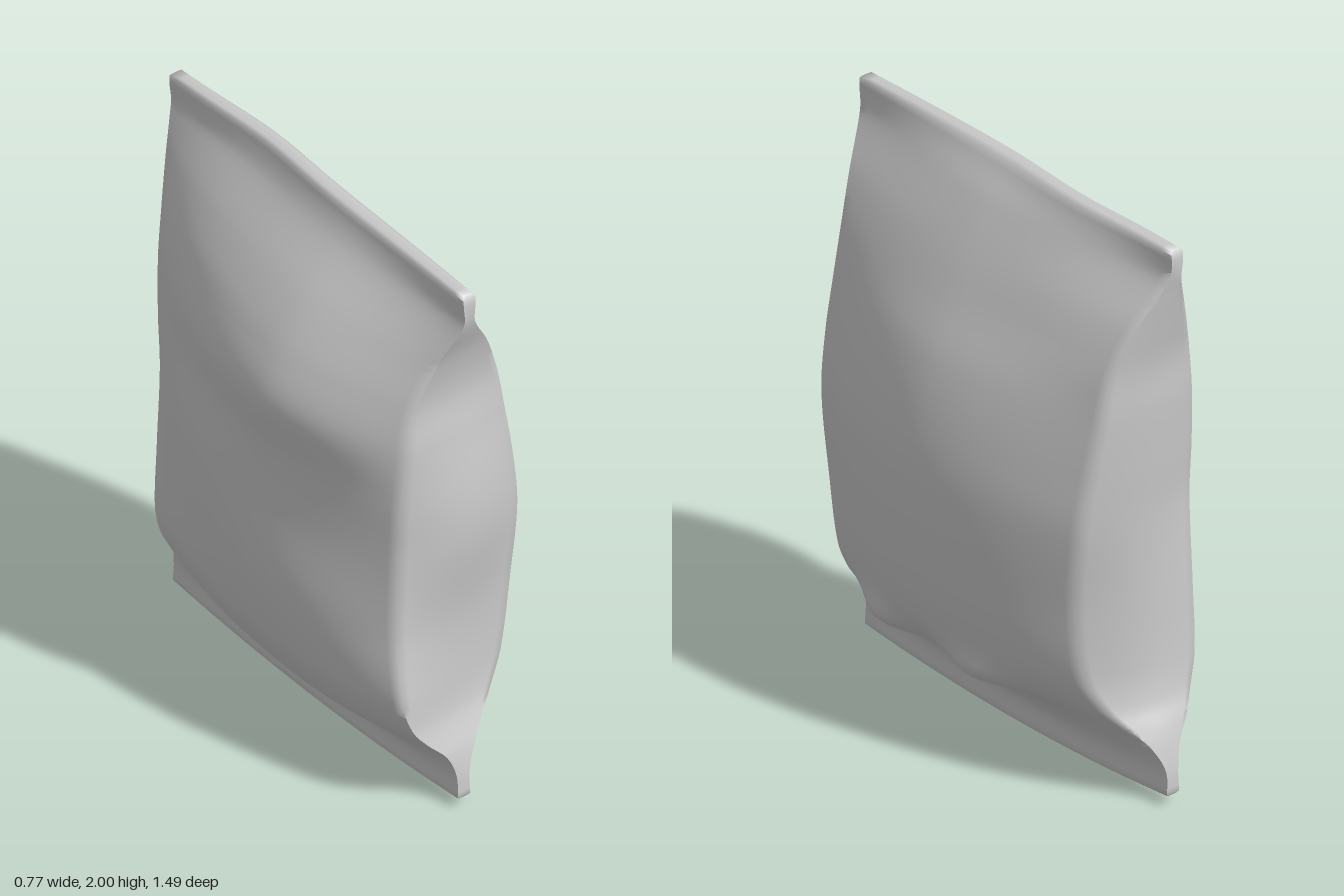
import * as THREE from 'three';
import { toCreasedNormals } from 'three/addons/utils/BufferGeometryUtils.js';

// Cross-section controls by height:
// y, left bulge x, right bulge x, left crease x, right crease x,
// front z (left crease), back z (left crease), front z (right crease), back z (right crease)
const rows = [
  [0.00, -0.06, -0.01, -0.06, -0.01, 0.725, -0.720, 0.725, -0.720],
  [0.10, -0.07, 0.000, -0.06, -0.01, 0.720, -0.715, 0.720, -0.715],
  [0.19, -0.16, 0.075, -0.09, 0.025, 0.710, -0.695, 0.700, -0.690],
  [0.26, -0.24, 0.150, -0.15, 0.075, 0.695, -0.670, 0.670, -0.650],
  [0.33, -0.285, 0.235, -0.20, 0.130, 0.685, -0.640, 0.640, -0.600],
  [0.45, -0.335, 0.320, -0.24, 0.190, 0.680, -0.625, 0.620, -0.555],
  [0.70, -0.37, 0.365, -0.24, 0.225, 0.650, -0.615, 0.620, -0.555],
  [1.00, -0.365, 0.380, -0.235, 0.240, 0.645, -0.605, 0.640, -0.595],
  [1.20, -0.36, 0.360, -0.23, 0.220, 0.655, -0.620, 0.645, -0.620],
  [1.40, -0.385, 0.310, -0.21, 0.190, 0.665, -0.640, 0.640, -0.640],
  [1.56, -0.33, 0.240, -0.18, 0.160, 0.660, -0.655, 0.640, -0.650],
  [1.72, -0.23, 0.165, -0.115, 0.095, 0.688, -0.700, 0.675, -0.685],
  [1.88, -0.10, 0.075, -0.05, 0.000, 0.742, -0.742, 0.735, -0.735],
  [1.95, -0.065, 0.025, -0.052, -0.008, 0.747, -0.747, 0.747, -0.747],
  [2.00, -0.055, -0.005, -0.055, -0.005, 0.745, -0.745, 0.745, -0.745],
];

// Smooth (Hermite) lookup of the controls at height y
function controlsAt(y) {
  let k = 0;
  while (k < rows.length - 2 && y > rows[k + 1][0]) k++;
  const slope = (i, c) => {
    const a = rows[Math.max(i - 1, 0)], b = rows[Math.min(i + 1, rows.length - 1)];
    return (b[c] - a[c]) / (b[0] - a[0]);
  };
  const h = rows[k + 1][0] - rows[k][0], t = (y - rows[k][0]) / h;
  const t2 = t * t, t3 = t2 * t;
  return rows[k].map((v, c) => (2 * t3 - 3 * t2 + 1) * v + (3 * t2 - 2 * t3) * rows[k + 1][c]
    + h * ((t3 - 2 * t2 + t) * slope(k, c) + (t3 - t2) * slope(k + 1, c)));
}

const bell = (d, w) => Math.exp(-(d * d) / (w * w));
const SIDE = 36, PANEL = 14;

// One closed loop of the bag, running right face, front gusset, left face, back gusset
function section(y, inset = 0) {
  const [, xl, xr, cl, cr, fl, bl, fr, br] = controlsAt(y);
  // The back gusset is a little narrower on its left
  const clBack = cl + 0.2 * Math.max(0, -0.06 - cl);
  const pts = [];
  // The faces are fuller towards the bottom of the bag
  const power = 2.2 - 0.35 * y;
  const face = (x0, x1, bulge, z0, z1, peak) => {
    for (let i = 0; i < SIDE; i++) {
      const t = i / SIDE, z = THREE.MathUtils.lerp(z0, z1, t);
      const atEnd = (z > peak) === (z1 > z0);
      const u = Math.abs((z - peak) / ((atEnd ? z1 : z0) - peak));
      const crease = atEnd ? x1 : x0;
      let x = crease + (bulge - crease) * (1 - Math.pow(u, power));
      // Overhanging folds low on the right face
      if (bulge > 0) x += 0.065 * bell(y - 0.335, 0.07) * (bell(z - 0.33, 0.13) + bell(z + 0.13, 0.14));
      pts.push([x, z]);
    }
  };
  const gusset = (x0, x1, z0, z1, swell) => {
    const depth = swell * Math.max(0, Math.abs(x1 - x0) - 0.06);
    for (let i = 0; i < PANEL; i++) {
      const t = i / PANEL;
      pts.push([THREE.MathUtils.lerp(x0, x1, t),
        THREE.MathUtils.lerp(z0, z1, t) + depth * Math.sin(Math.PI * t)]);
    }
  };
  face(cr, cr, xr, br, fr, 0.04);
  gusset(cr, cl, fr, fl, 0.12 * bell(y - 1.05, 0.35));
  face(cl, clBack, xl, fl, bl, 0.15 - 0.18 * bell(y - 1, 0.25));
  gusset(clBack, cr, bl, br, -0.11);

  return pts.map(([x, z]) => {
    // Slightly curved seal edges and a gentle wave along the top seal
    const q = (z / 0.73) ** 2;
    const yy = y + 0.035 * q * Math.max(0, 1 - y / 0.35) - 0.012 * q * Math.max(0, (y - 1.7) / 0.3);
    const wave = 0.02 * bell(z + 0.3, 0.25) * Math.max(0, (y - 1.6) / 0.4);
    const mid = -0.032;
    return [mid + (x - mid) * (1 - inset * 0.35) + wave, yy, z * (1 - inset * 0.01)];
  });
}

function bagGeometry() {
  const levels = 90;
  const loops = [section(0, 1)];
  for (let j = 0; j <= levels; j++) loops.push(section(0.01 + 1.98 * j / levels));
  loops.push(section(2, 1));

  const n = loops[0].length, pos = loops.flat(2), idx = [];
  for (let j = 0; j < loops.length - 1; j++) {
    for (let i = 0; i < n; i++) {
      const a = j * n + i, b = j * n + (i + 1) % n, c = a + n, d = b + n;
      idx.push(a, c, b, b, c, d);
    }
  }
  // Close each seal with a strip from the middle of the back gusset to the
  // middle of the front gusset, pairing the right face with the left face
  const cap = (base, up) => {
    const at = (i) => base + (i + n) % n;
    const back = -PANEL / 2;
    for (let i = 0; i < n / 2; i++) {
      const a = at(back + i), b = at(back + i + 1);
      const c = at(back + n - i), d = at(back + n - i - 1);
      if (up) idx.push(a, c, b, b, c, d);
      else idx.push(a, b, c, b, d, c);
    }
  };
  cap(0, false);
  cap((loops.length - 1) * n, true);

  const geo = new THREE.BufferGeometry();
  geo.setAttribute('position', new THREE.Float32BufferAttribute(pos, 3));
  geo.setIndex(idx);
  return toCreasedNormals(geo, 1.4);
}

export function createModel() {
  const group = new THREE.Group();
  group.name = 'pillowBag';
  const bag = new THREE.Mesh(bagGeometry(),
    new THREE.MeshStandardMaterial({ color: 0xcccccc, side: THREE.DoubleSide }));
  bag.name = 'bagBody';
  group.add(bag);
  return group;
}
